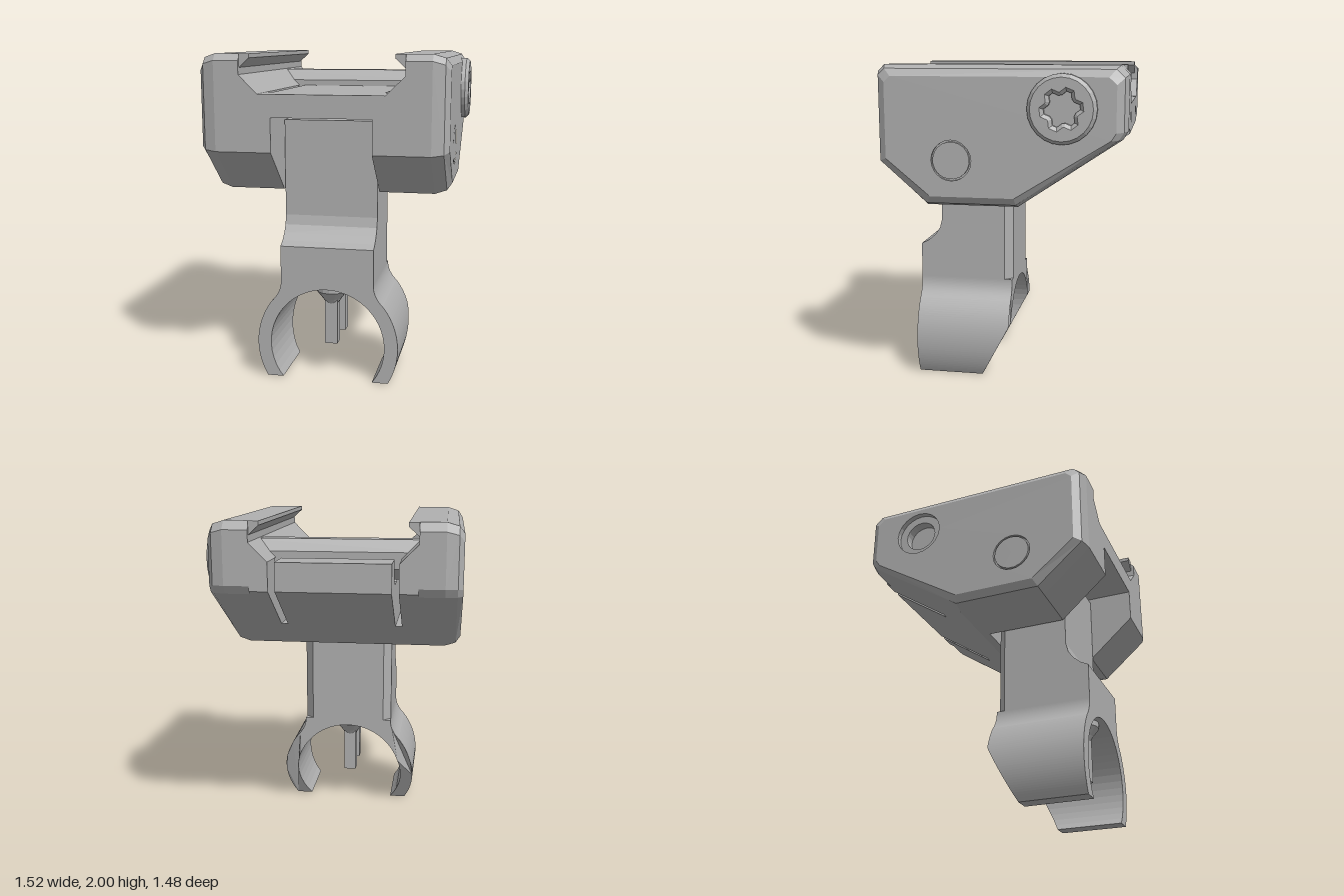
import * as THREE from 'three';

const grey = new THREE.MeshStandardMaterial({ color: 0xb0b0b0 });
grey.name = 'grey';

function flat(g) {
  const out = g.index ? g.toNonIndexed() : g;
  out.computeVertexNormals();
  return out;
}
function add(parent, name, geometry) {
  const mesh = new THREE.Mesh(flat(geometry), grey);
  mesh.name = name;
  parent.add(mesh);
  return mesh;
}
const shapeOf = (pts) => new THREE.Shape(pts.map(([a, b]) => new THREE.Vector2(a, b)));
const circle = (u, v, r) => new THREE.Path().absarc(u, v, r, 0, Math.PI * 2, true);
const extrude = (shape, depth, curveSegments = 12) =>
  new THREE.ExtrudeGeometry(shape, { depth, bevelEnabled: false, curveSegments });

// side profile of [z, y] points, swept from x0 to x1
function sweepX(pts, x0, x1) {
  return extrude(shapeOf(pts.map(([z, y]) => [-z, y])), x1 - x0).rotateY(Math.PI / 2).translate(x0, 0, 0);
}
// front profile of [x, y] points, swept from z0 to z1
const sweepZ = (pts, z0, z1) => extrude(shapeOf(pts), z1 - z0).translate(0, 0, z0);
// flat side wall at x facing along dir, holes given as [z, y, r]
function wall(pts, x, dir, holes = []) {
  const s = shapeOf(pts.map(([z, y]) => [-dir * z, y]));
  for (const [z, y, r] of holes) s.holes.push(circle(-dir * z, y, r));
  return new THREE.ShapeGeometry(s, 10).rotateY(dir * Math.PI / 2).translate(x, 0, 0);
}
// round bar along x
function barX(r, x0, x1, z, y, sides = 20) {
  return new THREE.CylinderGeometry(r, r, x1 - x0, sides, 1, false, Math.PI / sides)
    .rotateZ(Math.PI / 2).translate((x0 + x1) / 2, y, z);
}
// ring with a hole, along x
function ringX(r, hole, x0, x1, z, y) {
  const s = new THREE.Shape().absarc(-z, y, r, 0, Math.PI * 2);
  s.holes.push(circle(-z, y, hole));
  return extrude(s, x1 - x0).rotateY(Math.PI / 2).translate(x0, 0, 0);
}

const PIN = [0.28, 1.45], BOLT = [-0.37, 1.757];
const cheekProfile = [[0.74, 1.96], [0.70, 2], [-0.69, 2], [-0.74, 1.95], [-0.74, 1.63],
  [-0.71, 1.58], [-0.10, 1.17], [0.45, 1.17], [0.74, 1.43]];

// side jaw: profile lofted outward with a two-step chamfer
function cheek(side) {
  const g = new THREE.Group();
  g.name = side > 0 ? 'leftJaw' : 'rightJaw';
  const inset = (d) => cheekProfile.map(([z, y]) => [z * (0.74 - d) / 0.74, 1.585 + (y - 1.585) * (0.415 - d) / 0.415]);
  const rings = [[0.485, 0], [0.635, 0], [0.705, 0.022], [0.735, 0.065]].map(([x, d]) => ({ x: x * side, pts: inset(d) }));
  const pos = [], n = cheekProfile.length;
  for (let k = 0; k < rings.length - 1; k++) {
    for (let i = 0; i < n; i++) {
      const at = (r, j) => [rings[r].x, rings[r].pts[j % n][1], rings[r].pts[j % n][0]];
      const [a, b, c, d] = [at(k, i), at(k, i + 1), at(k + 1, i), at(k + 1, i + 1)];
      for (const v of side > 0 ? [a, c, b, b, c, d] : [a, b, c, b, d, c]) pos.push(...v);
    }
  }
  const shell = new THREE.BufferGeometry();
  shell.setAttribute('position', new THREE.Float32BufferAttribute(pos, 3));
  add(g, 'jawShell', shell);
  const holes = [[...PIN, 0.12]];
  if (side < 0) holes.push([...BOLT, 0.15]);
  add(g, 'jawOuterFace', wall(rings[3].pts, rings[3].x, side, holes));
  add(g, 'jawInnerFace', wall(cheekProfile, rings[0].x, -side));
  // recess around the hinge pin
  const [p0, p1] = side > 0 ? [0.66, 0.735] : [-0.735, -0.66];
  add(g, 'pinRecess', ringX(0.13, 0.12, p0, p1 - (side > 0 ? 0.002 : 0), ...PIN));
  add(g, 'pinRecessFloor', barX(0.125, p0, p0 + 0.055, ...PIN).translate(side > 0 ? 0 : 0.02, 0, 0));
  return g;
}

function starPath(z, y, outer, inner) {
  const pts = [];
  for (let i = 0; i < 24; i++) {
    const r = i % 4 < 2 ? outer : inner, a = (i / 24) * Math.PI * 2;
    pts.push(new THREE.Vector2(-z + r * Math.cos(a), y + r * Math.sin(a)));
  }
  return new THREE.Path(pts.reverse());
}

export function createModel() {
  const root = new THREE.Group();
  root.name = 'clampMount';
  const model = new THREE.Group();
  model.name = 'mount';
  model.position.x = -0.025;
  root.add(model);

  // rail body: side profiles swept across bands of width
  const groove = [[-0.24, 1.77], [-0.24, 1.66], [-0.30, 1.61], [-0.46, 1.61], [-0.52, 1.66], [-0.52, 1.77]];
  const top = [[0.74, 1.77], ...groove, [-0.74, 1.77], [-0.74, 1.6], [-0.10, 1.17]];
  const solid = [...top, [0.45, 1.17], [0.74, 1.43]];
  const pocket = [...top, [-0.05, 1.17], [-0.05, 1.635], [0.74, 1.635]];
  const slot = [[0.74, 1.77], [0.52, 1.77], [0.52, 1.34], [-0.353, 1.34], [-0.10, 1.17], [0.45, 1.17], [0.74, 1.43]];
  add(model, 'railFloor', sweepX(pocket, -0.298, 0.298));
  for (const s of [-1, 1]) {
    const band = (name, pts, a, b) => add(model, name, sweepX(pts, Math.min(a * s, b * s), Math.max(a * s, b * s)));
    band('pocketWall', solid, 0.298, 0.335);
    band('slottedWall', slot, 0.335, 0.375);
    band('railBase', solid, 0.375, 0.485);
    add(model, 'railSlope', sweepZ([[0.375 * s, 1.77], [0.485 * s, 1.77], [0.485 * s, 1.88]], -0.74, 0.74));
    add(model, 'railLip', sweepZ([[0.485 * s, 2], [0.425 * s, 2], [0.425 * s, 1.975], [0.485 * s, 1.92]], -0.72, 0.72));
    model.add(cheek(s));
  }

  // hinge pin and cross bolt
  add(model, 'hingePin', barX(0.11, -0.735, 0.735, ...PIN));
  add(model, 'crossBolt', barX(0.128, -0.64, 0.64, ...BOLT, 8));
  add(model, 'boltRecess', ringX(0.16, 0.15, -0.735, -0.6, ...BOLT));
  add(model, 'boltNut', ringX(0.155, 0.1, -0.70, -0.62, ...BOLT));

  // bolt head with star socket
  const head = new THREE.Shape().absarc(-BOLT[0], BOLT[1], 0.2, 0, Math.PI * 2);
  head.holes.push(starPath(...BOLT, 0.105, 0.08));
  const headGeometry = new THREE.ExtrudeGeometry(head, {
    depth: 0.12, bevelThickness: 0.022, bevelSize: 0.02, bevelOffset: -0.02, bevelSegments: 1, curveSegments: 12,
  });
  add(model, 'boltHead', headGeometry.rotateY(Math.PI / 2).translate(0.64, 0, 0));
  add(model, 'boltSocketFloor', barX(0.12, 0.65, 0.738, ...BOLT));

  // open ring clamp, its back edge cut away at the bottom
  const cy = 0.22, R = 0.44, r = 0.357;
  const a0 = Math.asin(-cy / R), a1 = 0.66, b0 = Math.asin(-cy / r);
  const clamp = new THREE.Shape();
  clamp.absarc(0, cy, R, a0, a1, false);
  clamp.quadraticCurveTo(0.288, 0.55, 0.288, 0.62);
  clamp.lineTo(-0.288, 0.62);
  clamp.quadraticCurveTo(-0.288, 0.55, -R * Math.cos(a1), cy + R * Math.sin(a1));
  clamp.absarc(0, cy, R, Math.PI - a1, Math.PI - a0, false);
  clamp.absarc(0, cy, r, Math.PI - b0, b0, true);
  const clampGeometry = extrude(clamp, 0.6, 18);
  const p = clampGeometry.attributes.position;
  for (let i = 0; i < p.count; i++) {
    if (p.getZ(i) < 0.01) p.setZ(i, Math.max(0, (0.34 - p.getY(i)) * 0.53));
  }
  add(model, 'ringClamp', clampGeometry);

  // arm with curved front step and chamfered back
  add(model, 'arm', sweepX([[0.6, 0.62], [0.6, 0.84], [0.55, 0.865], [0.505, 0.905], [0.475, 0.95],
    [0.46, 1.01], [0.46, 1.6], [0.05, 1.6], [0.05, 0.62]], -0.288, 0.288));
  const back = shapeOf([[-0.288, -0.05], [0.288, -0.05], [0.238, 0], [-0.238, 0]]);
  add(model, 'armBack', extrude(back, 0.98).rotateX(-Math.PI / 2).translate(0, 0.62, 0));

  // locating pegs with flared heads inside the ring
  for (const z of [0.2, 0.46]) {
    add(model, 'peg', new THREE.BoxGeometry(0.08, 0.36, 0.08).translate(0.005, 0.38, z));
    const flare = [[0.04, 0.46], [0.06, 0.49], [0.1, 0.54], [0.1, 0.59]].map(([x, y]) => new THREE.Vector2(x, y));
    add(model, 'pegFlare', new THREE.LatheGeometry(flare, 16).translate(0.005, 0, z));
  }
  return root;
}
